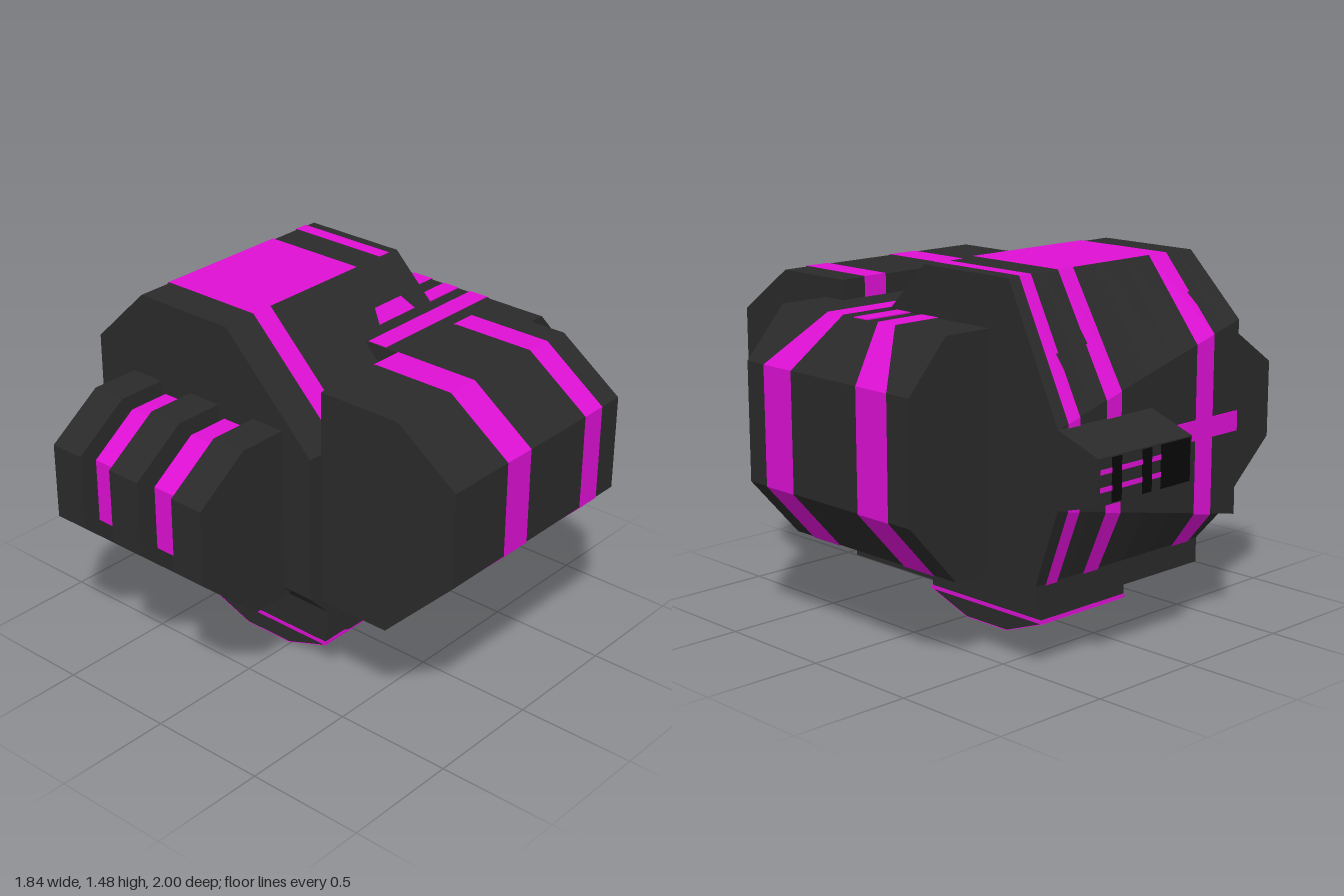
import * as THREE from 'three';

const dark = new THREE.MeshStandardMaterial({ color: 0x2a2a2a, flatShading: true });
const black = new THREE.MeshStandardMaterial({ color: 0x080808, flatShading: true });
const accent = new THREE.MeshStandardMaterial({ color: 0xdd10d4, flatShading: true, side: THREE.DoubleSide });

// Closed solid through matching cross-sections (counter-clockwise seen from the last one)
function loft(sections) {
  const pos = [];
  const tri = (...p) => p.forEach((v) => pos.push(...v));
  const n = sections[0].length;
  for (let i = 0; i < sections.length - 1; i++) {
    const s = sections[i], t = sections[i + 1];
    for (let j = 0; j < n; j++) {
      const k = (j + 1) % n;
      tri(s[j], s[k], t[k]);
      tri(s[j], t[k], t[j]);
    }
  }
  const first = sections[0], last = sections[sections.length - 1];
  for (let j = 1; j < n - 1; j++) {
    tri(first[0], first[j + 1], first[j]);
    tri(last[0], last[j], last[j + 1]);
  }
  return toGeometry(pos);
}

// Thin painted band between two edges
function ribbon(a, b) {
  const pos = [];
  for (let i = 0; i < a.length - 1; i++) {
    pos.push(...a[i], ...b[i], ...b[i + 1], ...a[i], ...b[i + 1], ...a[i + 1]);
  }
  return toGeometry(pos);
}

function toGeometry(pos) {
  const g = new THREE.BufferGeometry();
  g.setAttribute('position', new THREE.Float32BufferAttribute(pos, 3));
  g.computeVertexNormals();
  return g;
}

const atX = (profile, x) => profile.map(([z, y]) => [x, y, z]);
const atZ = (profile, z) => profile.map(([x, y]) => [x, y, z]);
const prismX = (p, x0, x1) => loft([atX(p, x0), atX(p, x1)]);
const prismZ = (p, z0, z1) => loft([atZ(p, z0), atZ(p, z1)]);
// Swells a profile slightly so painted bands sit just above the surface
const swell = (p, cx, cy, s = 1.008) => p.map(([x, y]) => [cx + (x - cx) * s, cy + (y - cy) * s]);

export function createModel() {
  const model = new THREE.Group();
  const add = (name, geometry, material = dark) => {
    const mesh = new THREE.Mesh(geometry, material);
    mesh.name = name;
    model.add(mesh);
    return mesh;
  };
  const box = (name, x0, x1, y0, y1, z0, z1, material) => {
    const mesh = add(name, new THREE.BoxGeometry(x1 - x0, y1 - y0, z1 - z0), material);
    mesh.position.set((x0 + x1) / 2, (y0 + y1) / 2, (z0 + z1) / 2);
  };

  // Main body: the back panel narrows toward the model's left
  const bodyProfile = (x) => {
    const t = x + 0.48;
    const floor = Math.max(0.35, 0.45 - t * 1.05);
    return [[-0.69, floor], [-0.8, 0.45 + 0.21 * t], [-0.8, 1.23 - 0.27 * t],
      [-0.55, 1.475], [-0.1, 1.475], [0.32, 1.06], [0.32, floor]];
  };
  const slices = [-0.48, -0.385, -0.25, -0.1, 0.05, 0.2, 0.35, 0.52];
  add('body', loft(slices.map((x) => atX(bodyProfile(x), x))));

  // Bands over the body, given as x range and profile span
  const bodyBand = (x0, x1, from, to) => {
    const edge = (x) => atX(swell(bodyProfile(x), -0.25, 0.9).slice(from, to + 1), x);
    add('bodyBand', ribbon(edge(x0), edge(x1)), accent);
  };
  bodyBand(-0.33, -0.23, 0, 3);
  bodyBand(-0.33, -0.235, 4, 5);
  bodyBand(-0.33, 0.27, 3, 4);
  bodyBand(0.19, 0.27, 0, 3);
  bodyBand(0.41, 0.47, 0, 4);
  box('backCrossBand', -0.48, 0.03, 0.79, 0.87, -0.804, -0.79, accent);
  add('slopeMark', ribbon([[0.23, 1.353, 0.03], [0.2, 1.305, 0.08]],
    [[0.39, 1.353, 0.03], [0.42, 1.305, 0.08]]), accent);

  // Underside plate and tapered foot
  box('lowerPlate', -0.385, 0.52, 0.25, 0.36, -0.69, 0.32);
  const rect = (y, x0, x1, z0, z1) => [[x1, y, z1], [x1, y, z0], [x0, y, z0], [x0, y, z1]];
  add('foot', loft([
    rect(0, -0.25, 0.225, -0.24, -0.01),
    rect(0.07, -0.25, 0.225, -0.43, 0.19),
    rect(0.155, -0.25, 0.225, -0.43, 0.19),
    rect(0.205, -0.25, 0.225, -0.56, 0.32),
    rect(0.25, -0.385, 0.3, -0.69, 0.32),
  ]));
  for (const y of [0.07, 0.14]) box('footTrim', -0.253, 0.228, y, y + 0.015, -0.433, 0.193, accent);
  const sole = [[-0.43, 0.067], [-0.24, -0.003], [-0.01, -0.003], [0.19, 0.067]];
  add('sole', ribbon(atX(sole, -0.25), atX(sole, 0.225)), accent);

  // Front pod with two wrapping bands
  const frontProfile = [[0.375, 0.47], [0.375, 1.36], [0.735, 1.36], [1, 1.17], [1, 0.78], [0.69, 0.47]];
  add('frontPod', prismX(frontProfile, -0.48, 0.52));
  const frontPath = swell(frontProfile, 0.69, 0.92);
  for (const [x0, x1] of [[-0.18, -0.04], [0.3, 0.41]]) {
    add('frontBand', ribbon(atX(frontPath, x0), atX(frontPath, x1)), accent);
  }

  // Left pod with bands that spread as they descend
  add('leftPod', prismZ([[0.09, 0.35], [0.69, 0.35], [0.915, 0.6], [0.915, 1.08],
    [0.735, 1.28], [0.09, 1.28]], -0.45, 0.48));
  const podBand = (start, top, low) => {
    const path = [[start, 1.284], [0.737, 1.284], [0.919, 1.081], [0.919, 0.599], [0.693, 0.348]];
    const edge = (i) => path.map(([x, y], k) => [x, y, k < 2 ? top[i] : low[i]]);
    add('leftPodBand', ribbon(edge(0), edge(1)), accent);
  };
  podBand(0.09, [0.115, 0.205], [0.21, 0.375]);
  podBand(0.52, [-0.18, -0.085], [-0.335, -0.165]);
  box('leftPodTopMark', 0.52, 0.735, 1.27, 1.284, -0.02, 0.055, accent);

  // Right side: dark ribs with coloured ribs between them
  const rib = [[-0.44, 0.41], [-0.44, 1.135], [-0.69, 1.135], [-0.92, 0.975], [-0.92, 0.66], [-0.64, 0.41]];
  const innerRib = [[-0.44, 0.47], [-0.44, 1.085], [-0.66, 1.085], [-0.86, 0.945], [-0.86, 0.68], [-0.61, 0.47]];
  for (const [z0, z1] of [[-0.61, -0.46], [-0.3, -0.15], [0.03, 0.18]]) add('rightRib', prismZ(rib, z0, z1));
  for (const [z0, z1] of [[-0.44, -0.3], [-0.12, 0.015]]) add('rightInnerRib', prismZ(innerRib, z0, z1), accent);

  // Rear nozzle with slots and thin lines
  add('nozzle', prismX([[-0.997, 0.715], [-0.997, 0.89], [-0.8, 0.96], [-0.8, 0.66]], 0.02, 0.52));
  for (const [x0, x1] of [[0.03, 0.19], [0.24, 0.29], [0.4, 0.45]]) {
    box('nozzleSlot', x0, x1, 0.72, 0.885, -1, -0.98, black);
  }
  for (const y of [0.765, 0.83]) {
    for (const [x0, x1] of [[0.19, 0.24], [0.29, 0.4], [0.45, 0.51]]) {
      box('nozzleLine', x0, x1, y, y + 0.018, -1, -0.98, accent);
    }
  }
  return model;
}
